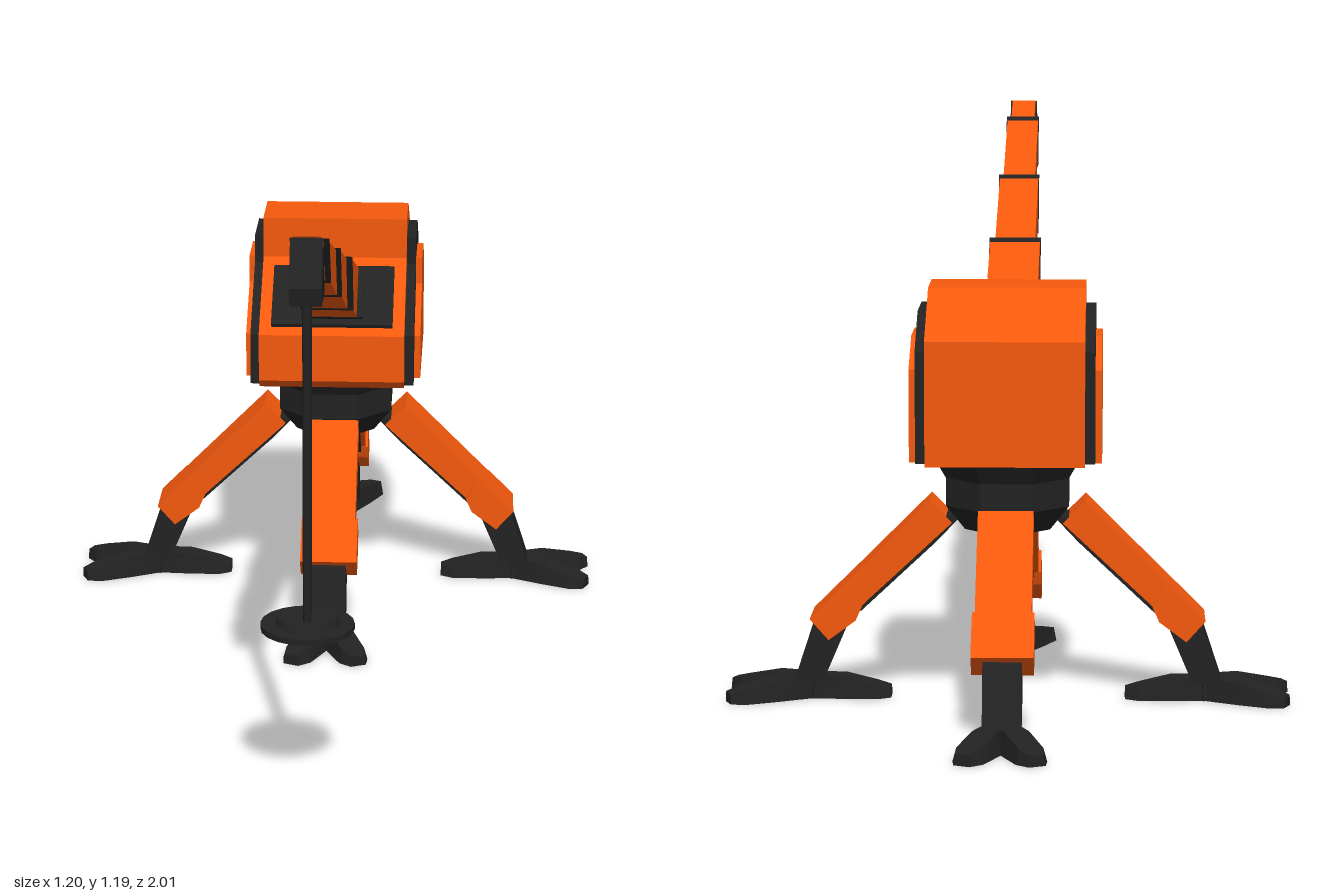
import * as THREE from 'three';

const orange = new THREE.MeshStandardMaterial({ color: 0xf5590d, flatShading: true });
const dark = new THREE.MeshStandardMaterial({ color: 0x222222, flatShading: true });
const CENTRE_Z = -0.405;

function add(parent, name, geometry, material) {
  const mesh = new THREE.Mesh(geometry, material);
  mesh.name = name;
  parent.add(mesh);
  return mesh;
}

// Side profile of [z, y] points, extruded to halfWidth on both sides of x = 0
function slab(points, halfWidth) {
  const shape = new THREE.Shape(points.map(([z, y]) => new THREE.Vector2(z, y)));
  return new THREE.ExtrudeGeometry(shape, { depth: halfWidth * 2, bevelEnabled: false })
    .translate(0, 0, -halfWidth)
    .rotateY(-Math.PI / 2);
}

// Tapered toe running along +z from the ankle
function toeGeometry(length) {
  const geo = new THREE.BoxGeometry(1, 1, 1, 1, 1, 3);
  const p = geo.attributes.position;
  const rows = [ // distance, height, half width
    [-0.02, 0.05, 0.028], [0.45 * length, 0.046, 0.034],
    [0.84 * length, 0.029, 0.034], [length, 0.023, 0.018],
  ];
  for (let i = 0; i < p.count; i++) {
    const [z, h, w] = rows[Math.round((p.getZ(i) + 0.5) * 3)];
    const top = p.getY(i) > 0;
    p.setXYZ(i, Math.sign(p.getX(i)) * w * (top ? 0.75 : 1), top ? h : 0, z);
  }
  geo.computeVertexNormals();
  return geo;
}

// One leg pointing along +z
function createLeg() {
  const leg = new THREE.Group();
  leg.name = 'leg';
  add(leg, 'thigh', slab([[0.118, 0.388], [0.165, 0.435], [0.42, 0.18], [0.38, 0.14], [0.3, 0.218]], 0.058), orange);
  add(leg, 'kneeHousing', slab([[0.33, 0.255], [0.362, 0.238], [0.42, 0.18], [0.38, 0.135], [0.322, 0.178], [0.308, 0.21]], 0.064), orange);
  add(leg, 'thighUnderside', slab([[0.1, 0.4], [0.14, 0.4], [0.33, 0.21], [0.312, 0.195], [0.15, 0.347]], 0.047), dark);
  add(leg, 'shin', slab([[0.345, 0.155], [0.385, 0.19], [0.415, 0.165], [0.456, 0.04], [0.394, 0.04]], 0.04), dark);
  // Two splayed outer toes and one heel toe
  for (const [angle, length] of [[0.42, 0.185], [-0.42, 0.185], [Math.PI, 0.175]]) {
    const toe = add(leg, 'toe', toeGeometry(length), dark);
    toe.position.z = 0.425;
    toe.rotation.y = angle;
  }
  return leg;
}

function createCabin() {
  const cabin = new THREE.Group();
  cabin.name = 'cabin';
  add(cabin, 'cabinBody', slab([
    [-0.16, 0.54], [-0.14, 0.56], [-0.14, 0.668], [-0.33, 0.8],
    [-0.33, 0.892], [-0.48, 0.892], [-0.65, 0.8], [-0.65, 0.54],
  ], 0.165), orange);
  add(cabin, 'sideTrim', slab([
    [-0.175, 0.542], [-0.175, 0.66], [-0.345, 0.782], [-0.345, 0.845],
    [-0.5, 0.845], [-0.62, 0.775], [-0.62, 0.542],
  ], 0.186), dark);
  add(cabin, 'sidePanels', slab([
    [-0.235, 0.541], [-0.235, 0.642], [-0.365, 0.73], [-0.365, 0.792],
    [-0.49, 0.792], [-0.597, 0.735], [-0.597, 0.541],
  ], 0.2), orange);
  add(cabin, 'frontWindow', slab([[-0.165, 0.67], [-0.157, 0.69], [-0.295, 0.79], [-0.31, 0.77]], 0.138), dark);
  add(cabin, 'boomSocket', slab([[-0.18, 0.69], [-0.165, 0.705], [-0.27, 0.785], [-0.29, 0.77]], 0.07), dark);
  return cabin;
}

function createBoom() {
  const boom = new THREE.Group();
  boom.name = 'boom';
  const upper = z => 1.19 - 0.335 * (0.914 - z);
  const lower = z => 1.094 - 0.382 * (0.85 - z);
  // Slanted joints as [top z, bottom z], and the half width of each section
  const joints = [[-0.3, -0.3], [0.128, 0.06], [0.465, 0.396], [0.8, 0.727], [0.912, 0.845]];
  const widths = [0.056, 0.045, 0.037, 0.028];
  widths.forEach((w, i) => {
    const [a, b] = [joints[i], joints[i + 1]];
    add(boom, 'boomSection', slab([
      [a[0], upper(a[0])], [b[0], upper(b[0])], [b[1], lower(b[1])], [a[1], lower(a[1])],
    ], w), orange);
    if (i === 3) return;
    const e = 0.003, t = 0.007;
    add(boom, 'boomCollar', slab([
      [b[0] - t, upper(b[0] - t) + e], [b[0] + t, upper(b[0] + t) + e],
      [b[1] + t, lower(b[1] + t) - e], [b[1] - t, lower(b[1] - t) - e],
    ], w + 0.002), dark);
  });
  add(boom, 'boomHead', slab([
    [0.915, 1.188], [0.845, 1.125], [0.85, 1.062], [0.96, 1.062], [0.968, 1.1],
  ], 0.032), dark);
  return boom;
}

export function createModel() {
  const model = new THREE.Group();
  model.name = 'walkingCrane';

  // Four legs around the turret
  for (let i = 0; i < 4; i++) {
    const leg = createLeg();
    leg.position.z = CENTRE_Z;
    leg.rotation.y = i * Math.PI / 2;
    model.add(leg);
  }

  // Octagonal neck, widths measured across flats
  const profile = [[0, 0.372], [0.09, 0.372], [0.13, 0.425], [0.13, 0.485], [0.163, 0.545], [0, 0.545]]
    .map(([r, y]) => new THREE.Vector2(r / Math.cos(Math.PI / 8), y));
  const neck = add(model, 'neck', new THREE.LatheGeometry(profile, 8).rotateY(Math.PI / 8), dark);
  neck.position.z = CENTRE_Z;

  model.add(createCabin(), createBoom());

  // Hoist cables and lifting plate
  for (const z of [0.93, 0.876]) {
    add(model, 'cable', new THREE.CylinderGeometry(0.008, 0.008, 0.69, 8), dark).position.set(0, 0.73, z);
  }
  add(model, 'liftingPlate', new THREE.CylinderGeometry(0.095, 0.095, 0.012, 20), dark).position.set(0, 0.379, 0.905);
  add(model, 'plateHub', new THREE.CylinderGeometry(0.06, 0.066, 0.014, 20), dark).position.set(0, 0.391, 0.905);
  return model;
}
